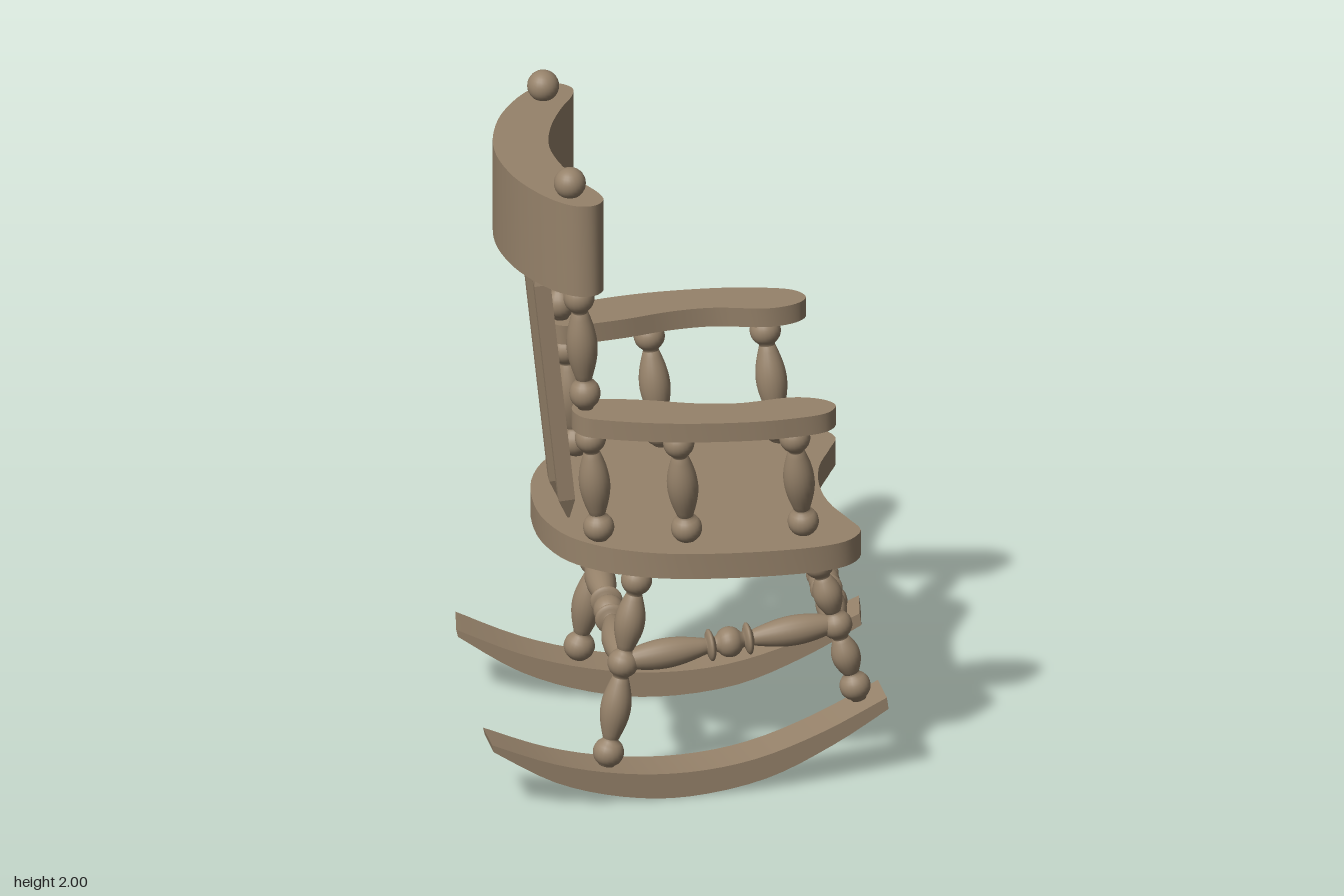
import * as THREE from 'three';
import { toCreasedNormals } from 'three/addons/utils/BufferGeometryUtils.js';

const wood = new THREE.MeshStandardMaterial({ color: 0x96826a });
const woodFlat = new THREE.MeshStandardMaterial({ color: 0x96826a, flatShading: true });
const V = (x, y, z) => new THREE.Vector3(x, y, z);

export function createModel() {
  // Built facing +z, then turned to its final heading
  const chair = new THREE.Group();
  chair.name = 'rockingChair';
  chair.rotation.y = THREE.MathUtils.degToRad(135);

  function add(name, geometry, material = wood) {
    const mesh = new THREE.Mesh(geometry, material);
    mesh.name = name;
    chair.add(mesh);
    return mesh;
  }

  // Flat board with a smooth closed outline of [x, z] points
  function board(name, outline, y0, y1) {
    const curve = new THREE.CatmullRomCurve3(outline.map(([x, z]) => V(x, -z, 0)), true);
    const shape = new THREE.Shape(curve.getPoints(80).slice(0, -1).map(p => new THREE.Vector2(p.x, p.y)));
    const g = new THREE.ExtrudeGeometry(shape, { depth: y1 - y0, bevelEnabled: false });
    g.rotateX(-Math.PI / 2).translate(0, y0, 0);
    return add(name, toCreasedNormals(g, 0.6));
  }

  // Adds the mirror image to half an outline that starts and ends on x = 0
  const mirrored = half => [...half, ...half.slice(1, -1).reverse().map(([x, z]) => [-x, z])];

  // Lathe placed so that its axis runs from a to b
  function latheBetween(name, a, b, profile, sides, material) {
    const g = new THREE.LatheGeometry(profile, sides, Math.PI / 4);
    const mesh = add(name, g, material);
    mesh.position.copy(a);
    mesh.quaternion.setFromUnitVectors(V(0, 1, 0), b.clone().sub(a).normalize());
    return mesh;
  }

  // Turned rod from a to b; each part is [kind, relative length, radius]
  function turned(name, a, b, parts) {
    const length = a.distanceTo(b);
    const total = parts.reduce((sum, p) => sum + p[1], 0);
    const profile = [new THREE.Vector2(0, 0)];
    let y = 0;
    for (const [kind, share, r] of parts) {
      const len = share / total * length;
      for (let i = 0; i <= 12; i++) {
        const t = i / 12;
        const radius = kind === 'ball'
          ? Math.max(0.022, r * Math.sqrt(Math.max(0, 1 - (2 * t - 1) ** 2)))
          : 0.024 + (r - 0.024) * Math.sin(Math.PI * t);
        profile.push(new THREE.Vector2(radius, y + t * len));
      }
      y += len;
    }
    profile.push(new THREE.Vector2(0, length));
    return latheBetween(name, a, b, profile, 20, wood);
  }

  const ball = ['ball', 0.088, 0.046];
  const post = [ball, ['bulb', 0.2, 0.046], ball];
  const stretcher = [['bulb', 0.22, 0.045], ['ball', 0.025, 0.048], ['ball', 0.075, 0.046],
    ['ball', 0.025, 0.048], ['bulb', 0.22, 0.045]];
  const legParts = [ball, ['bulb', 0.19, 0.045], ball, ['bulb', 0.17, 0.045], ball];
  const frontLegParts = [ball, ['bulb', 0.115, 0.043], ball, ['bulb', 0.115, 0.043], ball];

  // Seat with a hollowed front edge
  board('seat', mirrored([[0, 0.485], [0.13, 0.5], [0.25, 0.545], [0.33, 0.57], [0.395, 0.53], [0.43, 0.45],
    [0.45, 0.25], [0.435, 0], [0.39, -0.14], [0.345, -0.215], [0.27, -0.29], [0.14, -0.345], [0, -0.36]]), 0.71, 0.79);

  // Curved crest rail
  board('crestRail', mirrored([[0, -0.31], [0.14, -0.288], [0.27, -0.24], [0.34, -0.205], [0.395, -0.195],
    [0.432, -0.225], [0.432, -0.275], [0.38, -0.34], [0.24, -0.423], [0.1, -0.463], [0, -0.472]]), 1.63, 1.92);

  // Square back slats with pointed ends
  for (const i of [-1, 0, 1]) {
    const bend = Math.abs(i) * 0.012;
    const a = V(i * 0.142, 0.78, -0.28 + bend), b = V(i * 0.148, 1.64, -0.37 + bend);
    const l = a.distanceTo(b);
    const profile = [[0, 0], [0.034, 0.075], [0.034, l - 0.09], [0, l]].map(p => new THREE.Vector2(...p));
    latheBetween('backSlat', a, b, profile, 4, woodFlat);
  }

  // Rocker side profile: tapering bow, upper edge then lower edge
  const edge = pts => new THREE.SplineCurve(pts.map(p => new THREE.Vector2(...p))).getPoints(24);
  const rockerShape = new THREE.Shape([
    ...edge([[0.64, 0.262], [0.45, 0.17], [0.25, 0.102], [0.05, 0.078], [-0.15, 0.092], [-0.35, 0.14], [-0.54, 0.22]]),
    ...edge([[-0.535, 0.197], [-0.35, 0.082], [-0.15, 0.018], [0.05, 0], [0.28, 0.036], [0.48, 0.125], [0.645, 0.225]]),
  ]);

  for (const s of [-1, 1]) {
    const side = s > 0 ? 'right' : 'left';

    const rocker = new THREE.ExtrudeGeometry(rockerShape, { depth: 0.128, bevelEnabled: false });
    rocker.translate(0, 0, -0.064).rotateY(-Math.PI / 2);
    const r = add(side + 'Rocker', toCreasedNormals(rocker, 0.6));
    r.position.x = s * 0.359;
    r.rotation.y = -s * 0.095;

    // Legs
    turned(side + 'BackLeg', V(s * 0.379, 0.093, -0.185), V(s * 0.344, 0.715, -0.085), legParts);
    turned(side + 'FrontLeg', V(s * 0.3, 0.235, 0.568), V(s * 0.293, 0.715, 0.438), frontLegParts);
    turned(side + 'Stretcher', V(s * 0.36, 0.42, -0.134), V(s * 0.296, 0.48, 0.5), stretcher);

    // Armrest
    board(side + 'Arm', [[0.345, 0.465], [0.385, 0.49], [0.435, 0.46], [0.468, 0.33], [0.475, 0.2], [0.46, 0],
      [0.415, -0.19], [0.385, -0.255], [0.32, -0.28], [0.265, -0.25], [0.262, -0.19], [0.285, -0.06],
      [0.325, 0.085], [0.338, 0.21], [0.315, 0.38]].map(([x, z]) => [s * x, z]), 1.16, 1.22);

    // Posts under the arm
    turned(side + 'FrontArmPost', V(s * 0.325, 0.785, 0.405), V(s * 0.388, 1.165, 0.365), post);
    turned(side + 'MiddleArmPost', V(s * 0.335, 0.785, 0.06), V(s * 0.386, 1.165, 0.024), post);

    // Back post, below and above the arm, with its finial
    turned(side + 'LowerBackPost', V(s * 0.303, 0.785, -0.195), V(s * 0.318, 1.165, -0.228), post);
    turned(side + 'UpperBackPost', V(s * 0.318, 1.22, -0.238), V(s * 0.338, 1.632, -0.263), post);
    add(side + 'Finial', new THREE.SphereGeometry(0.047, 24, 16)).position.set(s * 0.345, 1.957, -0.288);
  }

  // Cross stretchers
  turned('frontStretcher', V(-0.296, 0.48, 0.5), V(0.296, 0.48, 0.5), stretcher);
  turned('backStretcher', V(-0.36, 0.42, -0.134), V(0.36, 0.42, -0.134), stretcher);

  const model = new THREE.Group();
  model.name = 'model';
  model.add(chair);
  return model;
}
